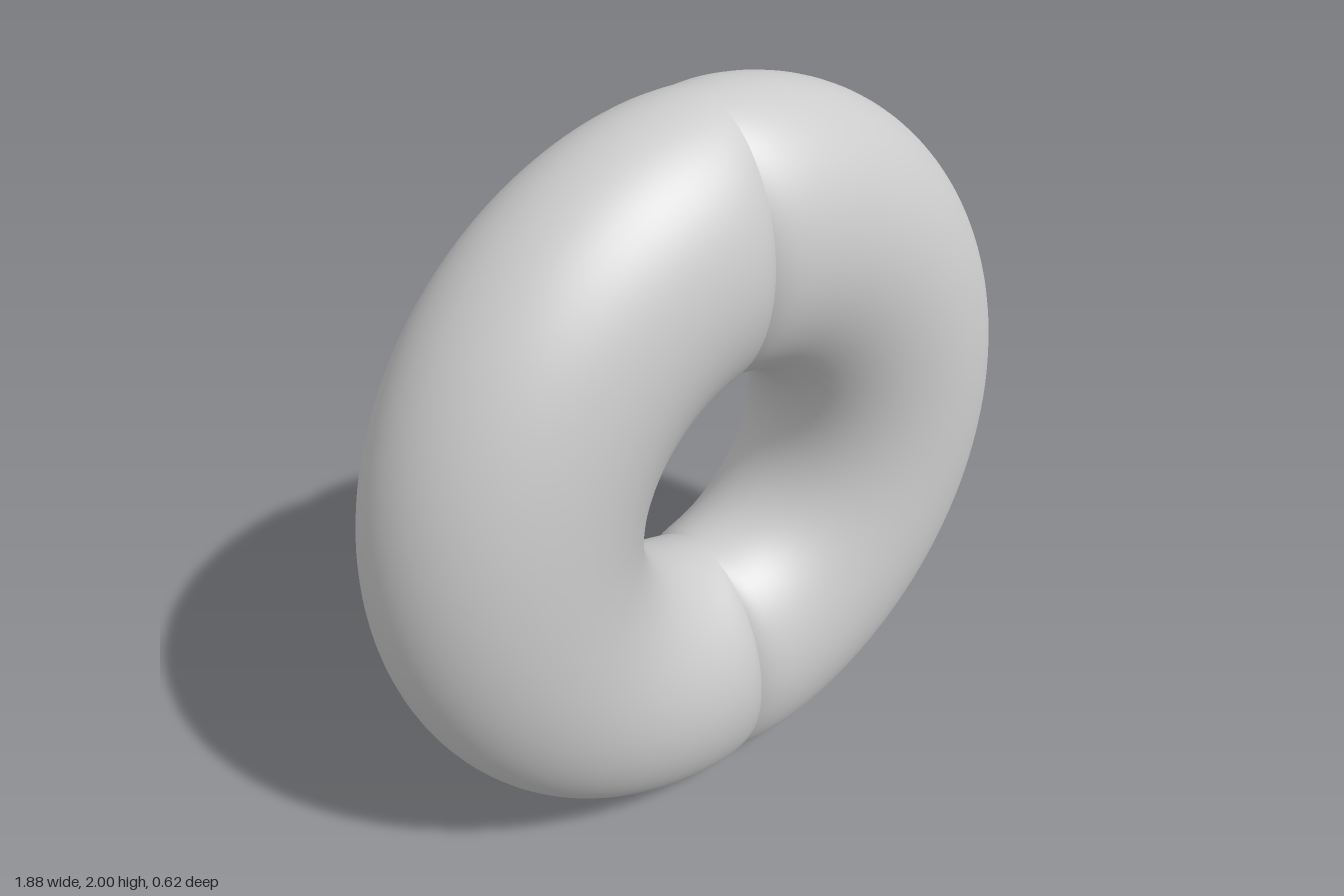
import * as THREE from 'three';

// Half of a slightly oval ring, swept from bottom to top on the +x side,
// with its thickness pinched towards the two ends.
function halfRingGeometry(steps = 96, sides = 72) {
  const positions = [], indices = [];
  for (let i = 0; i <= steps; i++) {
    // rows crowd together near the pinched ends
    const phi = (Math.PI / 2) * Math.sin((i / steps - 0.5) * Math.PI);
    const c = i === 0 || i === steps ? 0 : Math.cos(phi);
    const s = Math.sin(phi);
    const depth = 0.31 - 0.03 * Math.exp(-c / 0.08) - 0.02 * (1 - c);
    for (let j = 0; j < sides; j++) {
      const th = (j / sides) * Math.PI * 2;
      positions.push(
        (0.6 + 0.34 * Math.cos(th)) * c,
        1 + (0.64 + 0.36 * Math.cos(th)) * s,
        depth * Math.sin(th)
      );
      if (i < steps) {
        const k = (j + 1) % sides;
        const a = i * sides + j, b = a + sides;
        const d = i * sides + k, e = d + sides;
        indices.push(a, b, e, a, e, d);
      }
    }
  }
  const geometry = new THREE.BufferGeometry();
  geometry.setAttribute('position', new THREE.Float32BufferAttribute(positions, 3));
  geometry.setIndex(indices);
  geometry.computeVertexNormals();
  return geometry;
}

export function createModel() {
  const group = new THREE.Group();
  group.name = 'ring';
  const material = new THREE.MeshStandardMaterial({ color: 0xcccccc });
  const geometry = halfRingGeometry();

  // Two halves meet in a creased seam at x = 0
  ['leftHalf', 'rightHalf'].forEach((name, i) => {
    const half = new THREE.Mesh(geometry, material);
    half.name = name;
    half.rotation.y = i * Math.PI;
    group.add(half);
  });
  return group;
}
